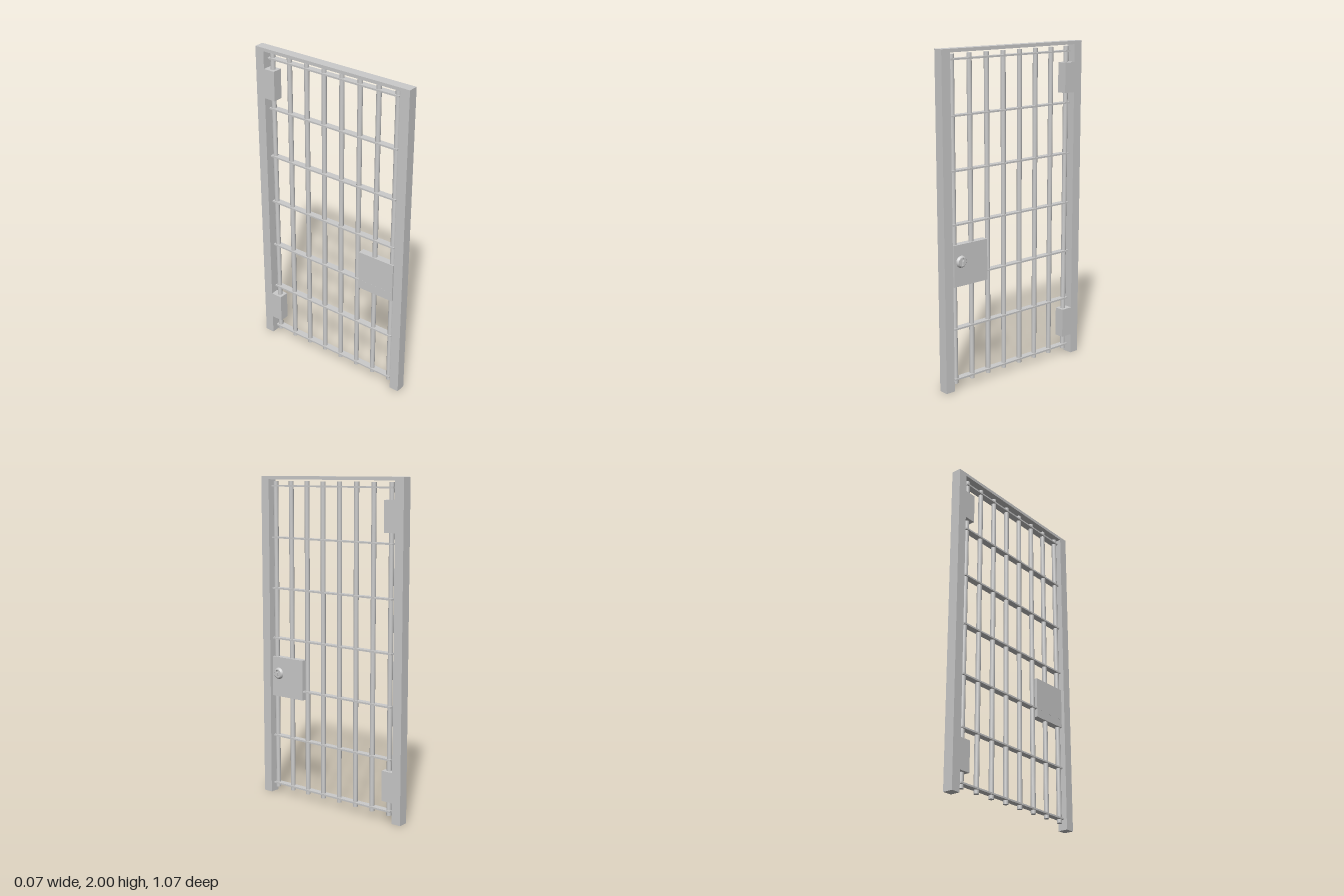
import * as THREE from 'three';

const material = new THREE.MeshStandardMaterial({ color: 0xcccccc });

export function createModel() {
  const model = new THREE.Group();
  model.name = 'barredDoor';

  const add = (name, geometry, x = 0, y = 0, z = 0) => {
    const mesh = new THREE.Mesh(geometry, material);
    mesh.name = name;
    mesh.position.set(x, y, z);
    model.add(mesh);
    return mesh;
  };
  // Box given by its minimum and maximum corners
  const box = (name, [x0, y0, z0], [x1, y1, z1]) =>
    add(name, new THREE.BoxGeometry(x1 - x0, y1 - y0, z1 - z0),
      (x0 + x1) / 2, (y0 + y1) / 2, (z0 + z1) / 2);

  const back = -0.035, front = 0.027, middle = -0.004;

  // Surrounding frame: two posts joined by a thin head, open at the floor
  const outline = new THREE.Shape([
    [-0.535, 0], [-0.475, 0], [-0.475, 1.98], [0.475, 1.98],
    [0.475, 0], [0.535, 0], [0.535, 2], [-0.535, 2],
  ].map(([u, v]) => new THREE.Vector2(u, v)));
  const frame = new THREE.ExtrudeGeometry(outline, { depth: front - back, bevelEnabled: false });
  frame.rotateY(Math.PI / 2);
  add('frame', frame, back);

  // Upright round bars
  for (let i = 0; i < 8; i++) {
    add('uprightBar', new THREE.CylinderGeometry(0.015, 0.015, 1.935, 24),
      middle, 1.003, 0.443 - i * 0.125);
  }

  // Flat cross bars
  for (let i = 0; i < 7; i++) {
    const y = 0.063 + i * 0.313;
    box('crossBar', [-0.0245, y - 0.005, -0.452], [0.0165, y + 0.005, 0.46]);
  }

  // Hinge blocks, flush with the frame
  for (const y of [0.125, 1.69]) {
    box('hinge', [back, y, -0.475], [front, y + 0.183, -0.4]);
  }

  // Lock case
  const lockFront = 0.02;
  box('lockCase', [-0.024, 0.635, 0.215], [lockFront, 0.885, 0.461]);

  // Raised keyhole plate with a sloping rim
  const face = new THREE.Shape().absarc(0, 0, 0.027, 0, Math.PI * 2);
  const keyhole = new THREE.Path();
  keyhole.absarc(0, 0.011, 0.0125, -Math.PI * 0.3, Math.PI * 1.3);
  keyhole.lineTo(-0.006, -0.019);
  keyhole.lineTo(0.006, -0.019);
  keyhole.closePath();
  face.holes.push(keyhole);
  const plate = new THREE.ExtrudeGeometry(face, { depth: 0.013, bevelEnabled: false, curveSegments: 20 });
  plate.rotateY(Math.PI / 2);
  add('keyholePlate', plate, lockFront, 0.782, 0.41);

  const rim = new THREE.LatheGeometry([
    new THREE.Vector2(0.036, 0), new THREE.Vector2(0.033, 0.008), new THREE.Vector2(0.027, 0.013),
  ], 32);
  rim.rotateZ(-Math.PI / 2);
  add('keyholeRim', rim, lockFront, 0.782, 0.41);

  return model;
}
